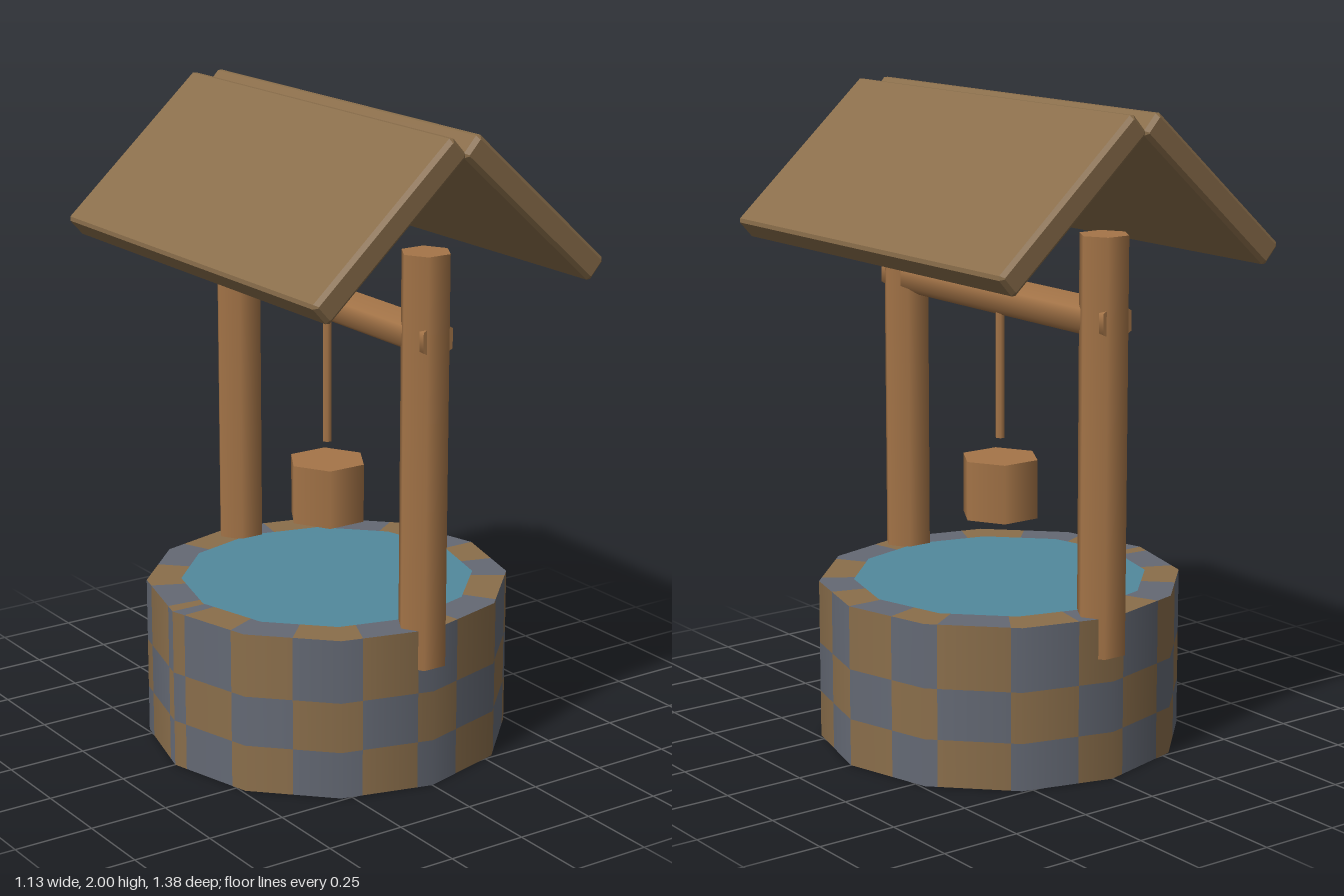
import * as THREE from 'three';

const paint = (name, color) => {
  const m = new THREE.MeshStandardMaterial({ color });
  m.name = name;
  return m;
};

export function createModel() {
  const model = new THREE.Group();
  model.name = 'wishingWell';
  const wood = paint('wood', 0xa57548);
  const tan = paint('brown stone and roof', 0x8a6e4b);
  const grey = paint('grey stone', 0x646974);
  const blue = paint('water blue', 0x52899d);

  const add = (name, geometry, material, x = 0, y = 0, z = 0) => {
    const mesh = new THREE.Mesh(geometry, material);
    mesh.name = name;
    mesh.position.set(x, y, z);
    model.add(mesh);
    return mesh;
  };
  // Six-sided bar with corners pointing along x
  const hexBar = (r, h) => new THREE.CylinderGeometry(r, r, h, 6).rotateY(Math.PI / 2);

  // Stone ring: twelve sides, angles in degrees measured from +z towards +x
  const R = 0.565, H = 0.503;
  const corner = (k) => [Math.sin(k * Math.PI / 6), Math.cos(k * Math.PI / 6)];
  const ringPoint = (a) => {
    const k = Math.floor(a / 30), t = a / 30 - k;
    const p = corner(k), q = corner(k + 1);
    return [p[0] + (q[0] - p[0]) * t, p[1] + (q[1] - p[1]) * t];
  };
  const half = [-90, -85, -65.5, -45, -23, -5, 11.5, 33.5, 56, 73, 90];
  const columns = [...half, ...half.slice(0, -1).reverse().map((a) => 180 - a)];
  // Each band runs from radius and height A to radius and height B
  const bands = [
    { rA: 0, yA: 0, rB: R, yB: 0, up: -1, row: 1 },
    { rA: R, yA: 0, rB: R, yB: 0.147, up: 0, row: 0 },
    { rA: R, yA: 0.147, rB: R, yB: 0.305, up: 0, row: 1 },
    { rA: R, yA: 0.305, rB: R, yB: H, up: 0, row: 0 },
    { rA: R, yA: H, rB: 0.44, yB: H, up: 1, row: 1 },
  ];
  const stones = (parity) => {
    const pos = [], nor = [];
    for (const b of bands) {
      for (let c = 0; c < columns.length - 1; c++) {
        if ((c + b.row) % 2 !== parity) continue;
        const cuts = [columns[c]];
        for (let a = -90; a < 270; a += 30) if (a > columns[c] && a < columns[c + 1]) cuts.push(a);
        cuts.push(columns[c + 1]);
        for (let i = 0; i < cuts.length - 1; i++) {
          const vertex = (a, r, y) => {
            const [x, z] = ringPoint(a);
            const l = Math.hypot(x, z);
            pos.push(x * r, y, z * r);
            if (b.up) nor.push(0, b.up, 0);
            else nor.push(x / l, 0, z / l);
          };
          const [a0, a1] = [cuts[i], cuts[i + 1]];
          vertex(a0, b.rA, b.yA); vertex(a1, b.rA, b.yA); vertex(a1, b.rB, b.yB);
          vertex(a0, b.rA, b.yA); vertex(a1, b.rB, b.yB); vertex(a0, b.rB, b.yB);
        }
      }
    }
    const g = new THREE.BufferGeometry();
    g.setAttribute('position', new THREE.Float32BufferAttribute(pos, 3));
    g.setAttribute('normal', new THREE.Float32BufferAttribute(nor, 3));
    return g;
  };
  add('brownStones', stones(0), tan);
  add('greyStones', stones(1), grey);

  // Water surface, level with the rim
  add('water', new THREE.CircleGeometry(0.457, 12).rotateX(-Math.PI / 2), blue, 0, H + 0.003, 0);

  // Posts, crossbeam, rope and bucket
  for (const s of [1, -1]) {
    add(s > 0 ? 'frontPost' : 'backPost', hexBar(0.077, 1.26), wood, 0, 1.01, s * 0.503);
  }
  add('crossbeam', new THREE.CylinderGeometry(0.06, 0.06, 1.134, 6).rotateX(Math.PI / 2), wood, 0, 1.39, 0);
  add('rope', hexBar(0.015, 0.42), wood, 0, 1.155, 0);
  add('bucket', hexBar(0.125, 0.185), wood, 0, 0.792, 0);

  // Roof slab: chamfered rectangle extruded along z with bevelled ends
  const roofPanel = () => {
    const b = 0.012, L = 0.315 - b, T = 0.041 - b, k = b * Math.tan(Math.PI / 8) / 2;
    const s = new THREE.Shape([
      [L, -T + k], [L, T - k], [L - k, T], [-L + k, T],
      [-L, T - k], [-L, -T + k], [-L + k, -T], [L - k, -T],
    ].map(([x, y]) => new THREE.Vector2(x, y)));
    const depth = 1.38 - 2 * b;
    return new THREE.ExtrudeGeometry(s, {
      depth, bevelEnabled: true, bevelSize: b, bevelThickness: b, bevelSegments: 1,
    }).translate(0, 0, -depth / 2);
  };
  for (const s of [1, -1]) {
    const panel = add(s > 0 ? 'leftRoof' : 'rightRoof', roofPanel(), tan, s * 0.253, 1.765, 0);
    panel.rotation.z = -s * THREE.MathUtils.degToRad(42);
  }
  return model;
}
